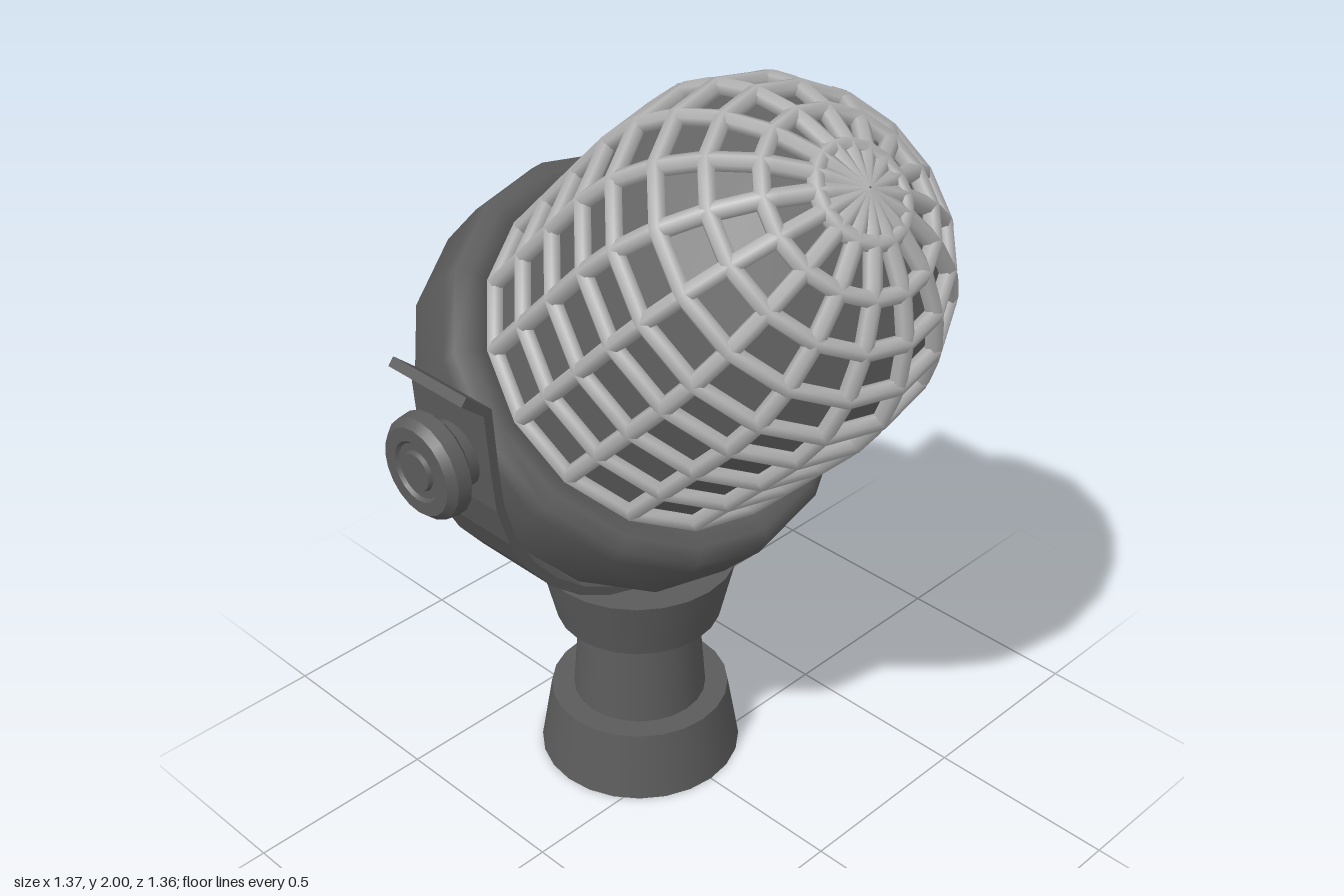
import * as THREE from 'three';

const mat = (name, color) => {
  const m = new THREE.MeshStandardMaterial({ color });
  m.name = name;
  return m;
};

// Turned part with hard edges: inner profile points are doubled to split normals.
function turned(points, segments, hard = true) {
  const last = points.length - 1;
  const pts = points.flatMap(([r, y], i) =>
    hard && i > 0 && i < last ? [new THREE.Vector2(r, y), new THREE.Vector2(r, y)] : [new THREE.Vector2(r, y)]);
  return new THREE.LatheGeometry(pts, segments);
}

export function createModel() {
  const body = mat('dark grey', 0x5b5b5b);
  const coreMat = mat('mid grey', 0x616161);
  const wireMat = mat('light grey', 0xb2b2b2);
  const model = new THREE.Group();
  const add = (parent, name, geometry, material) => {
    const mesh = new THREE.Mesh(geometry, material);
    mesh.name = name;
    parent.add(mesh);
    return mesh;
  };

  const pivotY = 1.175, pivotZ = -0.155;

  // Stand with flared foot and collar
  add(model, 'stand', turned([
    [0, 0], [0.266, 0], [0.235, 0.185], [0.175, 0.185], [0.158, 0.41],
    [0.18, 0.44], [0.215, 0.44], [0.255, 0.61], [0, 0.61],
  ], 24), body).position.z = pivotZ;

  // Yoke strap: half ring with upright arms and bent tips
  const outer = [], inner = [];
  const steps = 16;
  for (let i = 0; i <= steps; i++) {
    const a = Math.PI * (1 + i / steps);
    outer.push(new THREE.Vector2(0.57 * Math.cos(a), 0.57 * Math.sin(a)));
    inner.push(new THREE.Vector2(0.547 * Math.cos(a), 0.547 * Math.sin(a)));
  }
  const tip = (s, pts) => pts.map(([x, y]) => new THREE.Vector2(s * x, y));
  const outerTip = [[0.58, 0.15], [0.64, 0.2]], innerTip = [[0.557, 0.16], [0.625, 0.219]];
  const strap = new THREE.Shape([
    ...tip(-1, outerTip).reverse(), ...outer, ...tip(1, outerTip),
    ...tip(1, innerTip).reverse(), ...inner.reverse(), ...tip(-1, innerTip),
  ]);
  const yoke = add(model, 'yoke', new THREE.ExtrudeGeometry(strap, { depth: 0.25, bevelEnabled: false }), body);
  yoke.position.set(0, pivotY, pivotZ - 0.125);

  // Side knobs with spindle, rounded edge and centre cap
  for (const side of [1, -1]) {
    const knob = add(model, side > 0 ? 'leftKnob' : 'rightKnob', turned([
      [0, 0.48], [0.083, 0.48], [0.083, 0.618], [0.115, 0.618], [0.129, 0.63],
      [0.125, 0.665], [0.108, 0.684], [0.075, 0.684], [0.068, 0.676], [0.05, 0.676],
      [0.046, 0.686], [0, 0.686],
    ], 20), body);
    knob.position.set(0, pivotY - 0.002, pivotZ + 0.003);
    knob.rotation.z = -side * Math.PI / 2;
  }

  // Tilted head
  const head = new THREE.Group();
  head.name = 'head';
  head.position.set(0, 1.163, -0.149);
  head.rotation.x = 44.3 * Math.PI / 180;
  model.add(head);

  // Bowl flowing into the rim, with a soft upper lip
  const shell = [];
  for (let i = 0; i <= 8; i++) {
    const a = (i / 8) * 1.42;
    shell.push([0.515 * Math.sin(a), -0.045 - 0.49 * Math.cos(a)]);
  }
  shell.push([0.536, -0.125], [0.538, 0.04], [0.53, 0.085], [0.497, 0.104],
    [0.455, 0.1], [0.425, 0.07], [0.395, 0.04]);
  add(head, 'bowlAndRim', turned(shell, 16, false), body);

  // Profile shared by the core and the cage: straight wall, then dome
  const domeY = 0.537, wallY = 0.1;
  const profile = (r) => {
    const pts = [];
    for (let i = 0; i < 3; i++) pts.push([r, wallY + (domeY - wallY) * i / 3]);
    for (let i = 0; i <= 6; i++) {
      const a = i * Math.PI / 12;
      pts.push([i === 6 ? 0 : r * Math.cos(a), domeY + r * Math.sin(a)]);
    }
    return pts;
  };

  // Faceted inner core
  const core = turned([[0.416, 0], ...profile(0.416)], 16, false).toNonIndexed();
  core.computeVertexNormals();
  add(head, 'core', core, coreMat);

  // Wire cage: sixteen ribs and a hoop at every step
  const cage = new THREE.Group();
  cage.name = 'cage';
  head.add(cage);
  const nodes = profile(0.433), wire = 0.021;
  const ribPath = new THREE.CurvePath();
  const ribPts = [[0.433, 0.03], ...nodes].map(([r, y]) => new THREE.Vector3(0, y, r));
  for (let i = 1; i < ribPts.length; i++) ribPath.add(new THREE.LineCurve3(ribPts[i - 1], ribPts[i]));
  const rib = new THREE.TubeGeometry(ribPath, 30, wire, 6);
  for (let i = 0; i < 16; i++) add(cage, 'rib', rib, wireMat).rotation.y = i * Math.PI / 8;
  for (const [r, y] of nodes.slice(0, -1)) {
    const hoop = add(cage, 'hoop', new THREE.TorusGeometry(r, wire, 6, 16), wireMat);
    hoop.rotation.x = Math.PI / 2;
    hoop.position.y = y;
  }

  return model;
}
